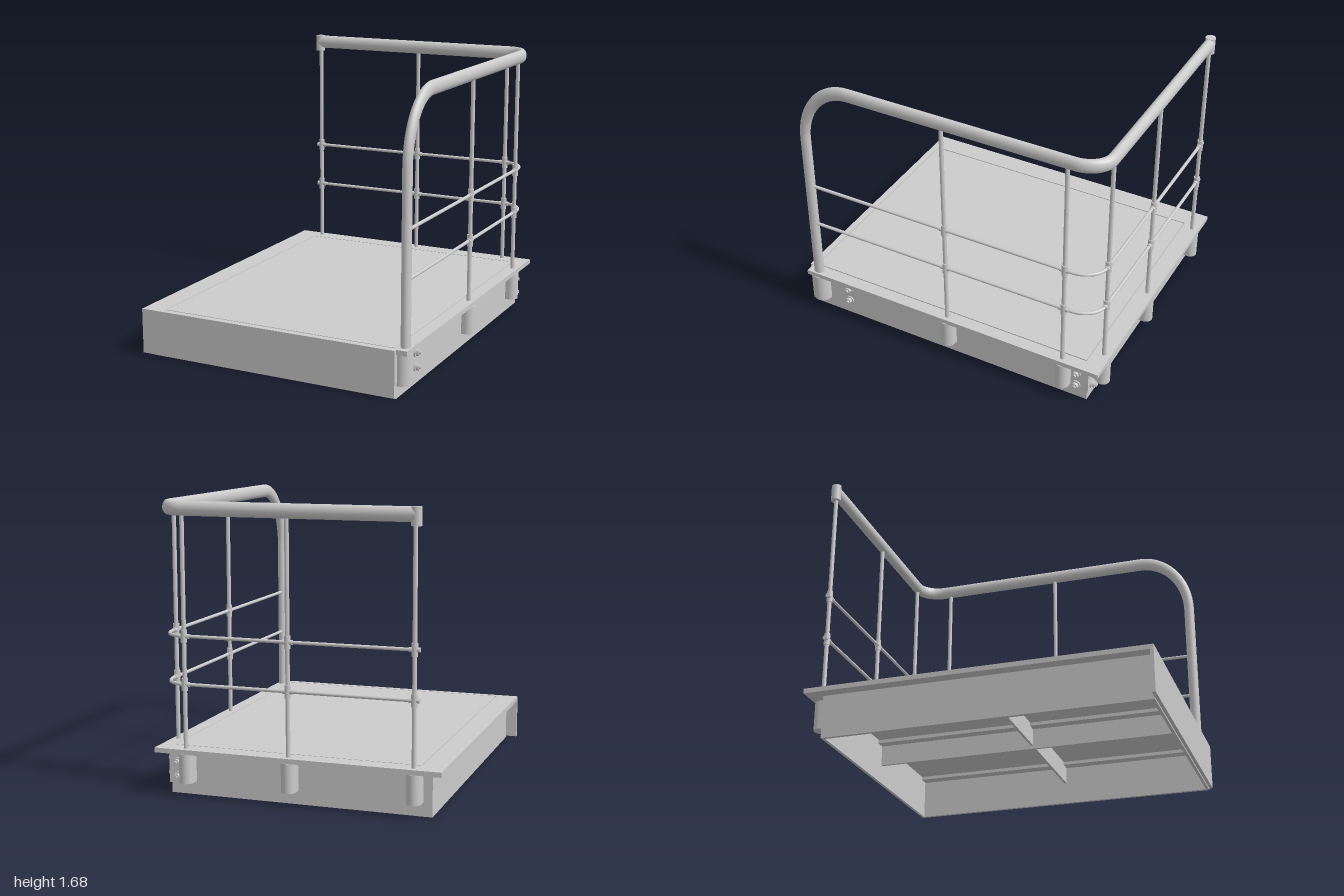
import * as THREE from 'three';

const V = (x, y, z) => new THREE.Vector3(x, y, z);
const grey = new THREE.MeshStandardMaterial({ color: 0xcccccc, side: THREE.DoubleSide });

function add(parent, name, geo, x = 0, y = 0, z = 0) {
  const m = new THREE.Mesh(geo, grey);
  m.name = name;
  m.position.set(x, y, z);
  parent.add(m);
  return m;
}

// box given by its min and max corners
function box(parent, name, x0, x1, y0, y1, z0, z1) {
  return add(parent, name, new THREE.BoxGeometry(x1 - x0, y1 - y0, z1 - z0),
    (x0 + x1) / 2, (y0 + y1) / 2, (z0 + z1) / 2);
}

function post(parent, name, r, y0, y1, x, z, sides = 16) {
  return add(parent, name, new THREE.CylinderGeometry(r, r, y1 - y0, sides), x, (y0 + y1) / 2, z);
}

// path along points with rounded corners: [point, cornerStart, corner, cornerEnd, ..., point]
function roundedPath(points, scale) {
  const p = points.map(q => q.clone().divide(scale));
  const path = new THREE.CurvePath();
  for (let i = 0; i < p.length - 1; i += 3) {
    path.add(new THREE.LineCurve3(p[i], p[i + 1]));
    if (i + 3 < p.length) {
      path.add(new THREE.CubicBezierCurve3(p[i + 1],
        p[i + 1].clone().lerp(p[i + 2], 0.5523),
        p[i + 3].clone().lerp(p[i + 2], 0.5523), p[i + 3]));
    }
  }
  return path;
}

function tube(parent, name, points, r, segments, scale) {
  const m = add(parent, name, new THREE.TubeGeometry(roundedPath(points, scale), segments, r, 18, false));
  m.scale.copy(scale);
  return m;
}

// U-shaped sleeve welded to the frame; opens toward the frame, points along +x before turning
function socket(parent, r, depth, y0, x, z, turn) {
  const s = new THREE.Shape();
  s.moveTo(-depth, -r);
  s.lineTo(0, -r);
  s.absarc(0, 0, r, -Math.PI / 2, Math.PI / 2, false);
  s.lineTo(-depth, r);
  s.closePath();
  const geo = new THREE.ExtrudeGeometry(s, { depth: 0.25 - y0, bevelEnabled: false, curveSegments: 16 });
  geo.rotateX(-Math.PI / 2);
  add(parent, 'postSocket', geo, x, y0, z).rotation.y = turn;
}

// washer and hex head, pointing along +x before turning
function bolt(parent, x, y, z, turn) {
  const g = new THREE.Group();
  g.name = 'bolt';
  [['washer', 0.028, 0.008, 18, 0.004], ['hexHead', 0.021, 0.02, 6, 0.016], ['boltEnd', 0.011, 0.012, 12, 0.03]]
    .forEach(([name, r, h, sides, off]) => {
      add(g, name, new THREE.CylinderGeometry(r, r, h, sides), off).rotation.z = -Math.PI / 2;
    });
  g.position.set(x, y, z);
  g.rotation.y = turn;
  parent.add(g);
}

function rect(shape, x0, x1, z0, z1) {
  shape.moveTo(x0, -z1);
  shape.lineTo(x1, -z1);
  shape.lineTo(x1, -z0);
  shape.lineTo(x0, -z0);
  shape.closePath();
  return shape;
}

export function createModel() {
  const model = new THREE.Group();
  model.name = 'railedPlatform';

  // deck border with a separate floor panel set into it
  const deck = new THREE.Group();
  deck.name = 'deck';
  model.add(deck);
  const border = rect(new THREE.Shape(), -0.845, 0.838, -1, 0.98);
  border.holes.push(rect(new THREE.Path(), -0.711, 0.76, -0.895, 0.96));
  const borderGeo = new THREE.ExtrudeGeometry(border, { depth: 0.028, bevelEnabled: false });
  borderGeo.rotateX(-Math.PI / 2);
  add(deck, 'deckBorder', borderGeo, 0, 0.252, 0);
  box(deck, 'floorPanel', -0.705, 0.754, 0.252, 0.28, -0.889, 0.954);
  box(deck, 'frontPlate', -0.845, 0.775, 0.01, 0.28, 0.98, 1);

  // frame below the deck: plates with inward top flanges
  const frame = new THREE.Group();
  frame.name = 'frame';
  model.add(frame);
  for (const [x0, x1, f0, f1] of [[0.755, 0.775, 0.69, 0.755], [-0.775, -0.755, -0.755, -0.65]]) {
    box(frame, 'sideBeam', x0, x1, 0, 0.252, -0.91, 0.98);
    box(frame, 'sideFlange', f0, f1, 0.232, 0.252, -0.89, 0.96);
  }
  box(frame, 'backBeam', -0.755, 0.755, 0, 0.252, -0.91, -0.892);
  box(frame, 'frontBeam', -0.755, 0.755, 0, 0.252, 0.962, 0.98);
  box(frame, 'frontFlange', -0.65, 0.69, 0.232, 0.252, 0.9, 0.962);
  box(frame, 'centreBeam', 0.03, 0.045, 0.11, 0.252, -0.892, 0.962);
  box(frame, 'centreFlange', -0.03, 0.105, 0.232, 0.252, -0.892, 0.962);
  box(frame, 'crossBeam', 0.045, 0.755, 0.13, 0.252, 0.06, 0.075);
  box(frame, 'crossBeam', -0.755, 0.03, 0.13, 0.252, 0.06, 0.075);

  // corner bracket and bolts
  box(frame, 'cornerBracket', 0.775, 0.785, 0.06, 0.252, -0.92, -0.81);
  box(frame, 'cornerBracket', 0.67, 0.785, 0.06, 0.252, -0.92, -0.91);
  for (const y of [0.1, 0.185]) {
    bolt(frame, 0.785, y, -0.845, 0);
    bolt(frame, 0.775, y, 0.72, 0);
    bolt(frame, 0.735, y, -0.92, Math.PI / 2);
  }

  // railing
  const railing = new THREE.Group();
  railing.name = 'railing';
  model.add(railing);
  const sideX = 0.802, backZ = -0.957, topY = 1.64;

  // handrail: oval tube that turns down at the front and round the back corner
  tube(railing, 'handrail', [
    V(sideX, 0.08, 0.915), V(sideX, 1.26, 0.915), V(sideX, topY, 0.915), V(sideX, topY, 0.6),
    V(sideX, topY, -0.8), V(sideX, topY, backZ), V(0.67, topY, backZ), V(-0.685, topY, backZ),
  ], 0.032, 220, V(0.84, 1.3, 1));
  post(railing, 'handrailEndCap', 0.03, 1.58, 1.682, -0.687, backZ, 24);

  // two rows of thin rail
  const rows = [0.65, 0.925];
  for (const y of rows) {
    tube(railing, 'midRail', [
      V(sideX, y, 0.915), V(sideX, y, -0.8), V(sideX, y, backZ), V(0.67, y, backZ), V(-0.685, y, backZ),
    ], 0.01, 160, V(1, 1, 1));
  }

  // thin posts with sleeves where the rails cross, and sockets at the foot
  const posts = [
    [sideX, 0, 0], [sideX, -0.76, 0],
    [0.66, backZ, 1], [0.04, backZ, 1], [-0.682, backZ, 1],
  ];
  for (const [x, z, onBack] of posts) {
    post(railing, 'thinPost', 0.0125, 0.09, 1.63, x, z);
    for (const y of rows) {
      post(railing, 'postSleeve', 0.018, y - 0.036, y + 0.036, x, z);
      const sleeve = post(railing, 'railSleeve', 0.014, -0.03, 0.03, x, z);
      sleeve.position.y = y;
      if (onBack) sleeve.rotation.z = Math.PI / 2;
      else sleeve.rotation.x = Math.PI / 2;
    }
    if (onBack) socket(railing, 0.042, 0.045, 0.08, x, z, Math.PI / 2);
    else socket(railing, 0.045, 0.025, 0.08, sideX - 0.005, z, 0);
  }
  socket(railing, 0.055, 0.015, 0.07, 0.787, 0.913, 0);

  return model;
}
